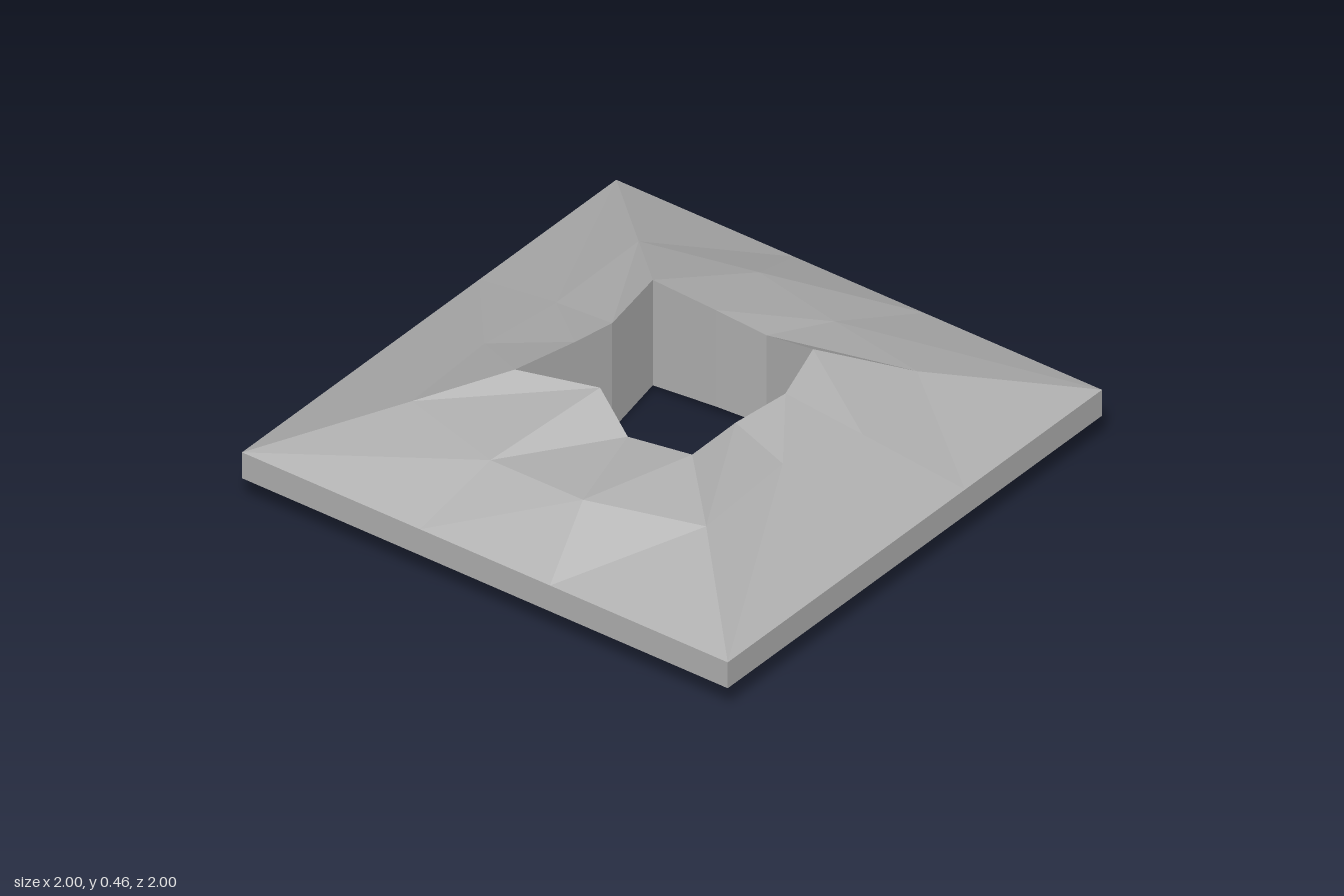
import * as THREE from 'three';

// Twelve rays run clockwise (seen from above) from the back left corner.
const N = 12;
const T = Math.tan(Math.PI / 12);
const rays = [];
for (let side = 0; side < 4; side++) {
  for (const along of [-1, -T, T]) {
    let x = along, z = -1;
    for (let k = 0; k < side; k++) [x, z] = [-z, x];
    rays.push([x, z]);
  }
}

// Distance along each ray and heights of the hole rim and the ridge ring
const rim = {
  scale: [.365, .33, .31, .345, .355, .375, .328, .387, .33, .363, .362, .285],
  top: [.455, .43, .42, .435, .415, .385, .45, .42, .385, .42, .38, .46],
  bottom: [.045, .035, 0, .02, .035, .03, .012, .01, .04, .045, .045, .045],
};
const ridge = {
  scale: [.605, .64, .60, .60, .715, .645, .57, .65, .575, .613, .73, .72],
  top: [.36, .34, .34, .345, .33, .325, .333, .33, .36, .375, .37, .36],
  bottom: [.025, .035, .005, .005, .015, .025, .065, .005, .035, .022, .002, .02],
};
const edge = {
  scale: Array(N).fill(1),
  top: Array(N).fill(.207),
  bottom: Array(N).fill(.105),
};

const ring = (r, level) => rays.map(([x, z], i) => [x * r.scale[i], r[level][i], z * r.scale[i]]);

// Faceted band between two rings; flip selects the other diagonal
function band(name, a, b, material, flip = false) {
  const p = [];
  for (let i = 0; i < N; i++) {
    const j = (i + 1) % N;
    const corners = flip
      ? [a[i], a[j], b[i], a[j], b[j], b[i]]
      : [a[i], b[j], b[i], a[i], a[j], b[j]];
    p.push(...corners.flat());
  }
  const g = new THREE.BufferGeometry();
  g.setAttribute('position', new THREE.Float32BufferAttribute(p, 3));
  g.computeVertexNormals();
  const mesh = new THREE.Mesh(g, material);
  mesh.name = name;
  return mesh;
}

export function createModel() {
  const stone = new THREE.MeshStandardMaterial({ color: 0xb0b0b0, flatShading: true });
  stone.name = 'grey stone';

  const group = new THREE.Group();
  group.name = 'facetedSlabWithHole';

  const rimTop = ring(rim, 'top'), rimBottom = ring(rim, 'bottom');
  const ridgeTop = ring(ridge, 'top'), ridgeBottom = ring(ridge, 'bottom');
  const edgeTop = ring(edge, 'top'), edgeBottom = ring(edge, 'bottom');

  group.add(
    // Upper slopes
    band('upperInnerSlope', rimTop, ridgeTop, stone),
    band('upperOuterSlope', ridgeTop, edgeTop, stone),
    // Straight outer sides
    band('outerSides', edgeTop, edgeBottom, stone),
    // Underside
    band('lowerOuterSlope', edgeBottom, ridgeBottom, stone, true),
    band('lowerInnerSlope', ridgeBottom, rimBottom, stone, true),
    // Walls of the hole
    band('holeWalls', rimBottom, rimTop, stone),
  );
  return group;
}
